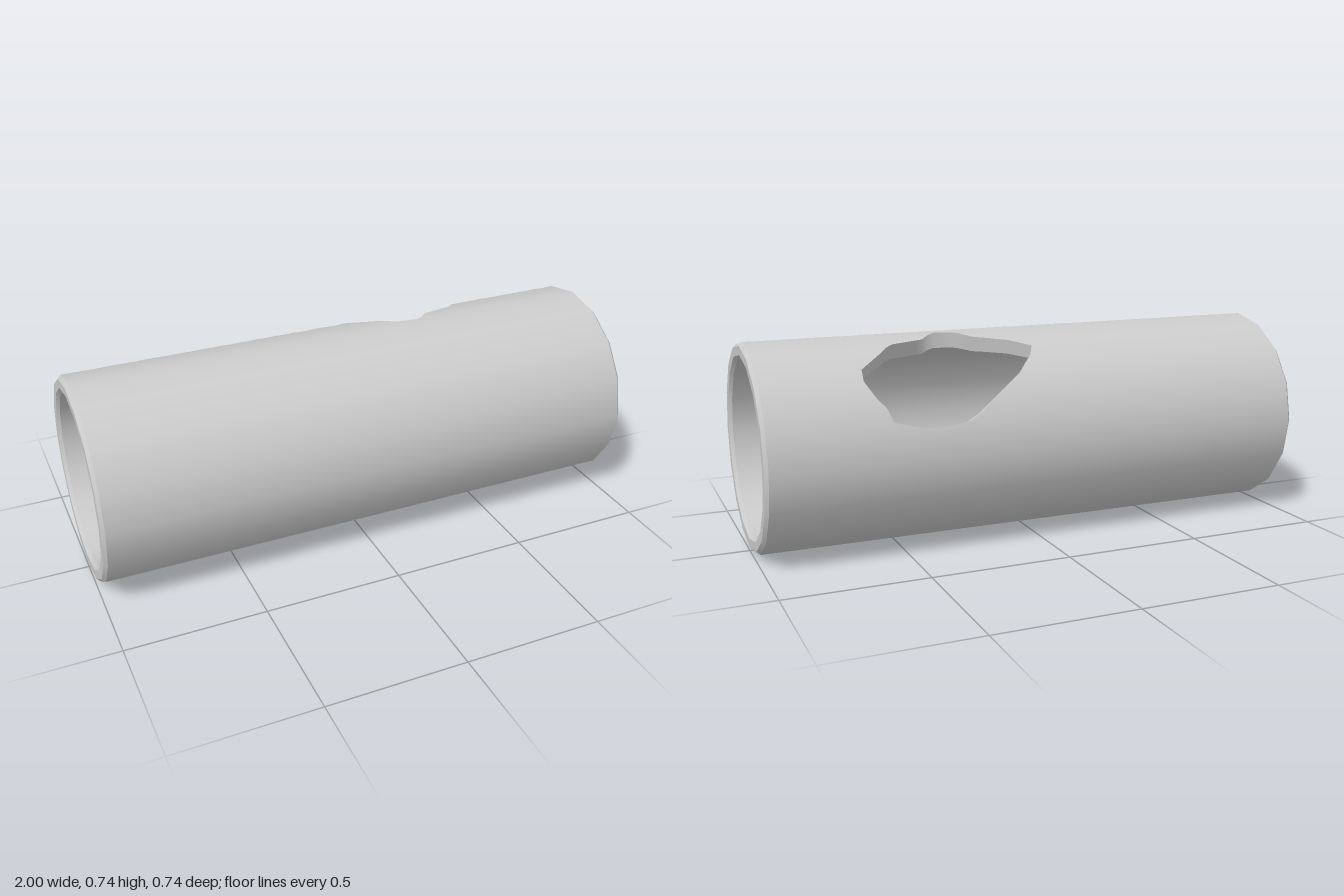
import * as THREE from 'three';

const RO = 0.368, RI = 0.312, BEVEL = 0.012, SIDES = 16;
const STEP = (Math.PI * 2) / SIDES, DEG = Math.PI / 180;

// Broken hole outline: x along the pipe, degrees from the top towards the back
const HOLE = [
  [0, 28], [0.02, 35], [0.09, 48], [0.2, 61], [0.25, 68], [0.3, 73], [0.4, 75], [0.48, 74],
  [0.57, 70], [0.585, 62], [0.61, 57], [0.645, 46], [0.64, 38], [0.56, 27], [0.5, 18],
  [0.38, 13], [0.355, 8], [0.32, 3], [0.24, 5], [0.19, 14], [0.16, 16], [0.07, 23],
];
const CENTRE = [0.33, 42];
// The six facets that hold the hole
const A0 = -22.5, A1 = 112.5, END = 1 - BEVEL;

// Point on a sixteen-sided pipe of corner radius R
function onPipe(x, deg, R) {
  const a = deg * DEG;
  const local = a - Math.floor(a / STEP + 1e-9) * STEP - STEP / 2;
  const r = (R * Math.cos(STEP / 2)) / Math.cos(local);
  return new THREE.Vector3(x, RO + r * Math.cos(a), -r * Math.sin(a));
}

const radial = (deg, s = 1) =>
  new THREE.Vector3(0, s * Math.cos(deg * DEG), -s * Math.sin(deg * DEG));

// Surface over a grid; f(i, j) gives [point, normal] and faces follow the normals
function grid(nu, nv, f) {
  const pos = [], nor = [], idx = [], P = [], N = [];
  for (let i = 0; i <= nu; i++) for (let j = 0; j <= nv; j++) {
    const [p, n] = f(i, j);
    n.normalize();
    P.push(p); N.push(n);
    pos.push(p.x, p.y, p.z);
    nor.push(n.x, n.y, n.z);
  }
  const tri = (a, b, c) => {
    const g = P[b].clone().sub(P[a]).cross(P[c].clone().sub(P[a]));
    const n = N[a].clone().add(N[b]).add(N[c]);
    if (g.dot(n) < 0) idx.push(a, c, b); else idx.push(a, b, c);
  };
  for (let i = 0; i < nu; i++) for (let j = 0; j < nv; j++) {
    const a = i * (nv + 1) + j, b = a + nv + 1;
    tri(a, b, b + 1);
    tri(a, b + 1, a + 1);
  }
  const geo = new THREE.BufferGeometry();
  geo.setAttribute('position', new THREE.Float32BufferAttribute(pos, 3));
  geo.setAttribute('normal', new THREE.Float32BufferAttribute(nor, 3));
  geo.setIndex(idx);
  return geo;
}

// Points around the border of the unrolled hole panel
function panelBorder() {
  const corners = [[-END, A0], [END, A0], [END, A1], [-END, A1]];
  const counts = [64, 48, 64, 48], out = [];
  corners.forEach((c, k) => {
    const d = corners[(k + 1) % 4];
    for (let i = 0; i < counts[k]; i++) {
      const t = i / counts[k];
      out.push([c[0] + (d[0] - c[0]) * t, c[1] + (d[1] - c[1]) * t]);
    }
  });
  out.push(out[0]);
  return out;
}

// Where the ray from the hole centre to a border point meets the outline
function outlineHit(b) {
  const dx = b[0] - CENTRE[0], dy = b[1] - CENTRE[1];
  for (let k = 0; k < HOLE.length; k++) {
    const p = HOLE[k], q = HOLE[(k + 1) % HOLE.length];
    const ex = q[0] - p[0], ey = q[1] - p[1];
    const px = p[0] - CENTRE[0], py = p[1] - CENTRE[1];
    const det = dx * ey - dy * ex;
    if (Math.abs(det) < 1e-9) continue;
    const t = (px * ey - py * ex) / det, s = (px * dy - py * dx) / det;
    if (t > 0 && s >= -1e-6 && s <= 1 + 1e-6) return [CENTRE[0] + dx * t, CENTRE[1] + dy * t];
  }
  return CENTRE;
}

export function createModel() {
  const group = new THREE.Group();
  const material = new THREE.MeshStandardMaterial({ color: 0xcccccc, side: THREE.DoubleSide });
  const add = (name, geo) => {
    const mesh = new THREE.Mesh(geo, material);
    mesh.name = name;
    group.add(mesh);
  };

  const border = panelBorder(), rim = border.map(outlineHit), n = border.length - 1;

  // Outer and inner walls: ten plain facets plus the panel around the hole
  for (const [name, R, s] of [['outer', RO, 1], ['inner', RI, -1]]) {
    add(name + 'Wall', grid(10, 1, (i, j) => {
      const deg = A1 + i * 22.5;
      return [onPipe(j ? END : -END, deg, R), radial(deg, s)];
    }));
    add(name + 'HolePanel', grid(n, 14, (i, j) => {
      const t = j / 14, [h, b] = [rim[i], border[i]];
      const deg = h[1] + (b[1] - h[1]) * t;
      return [onPipe(h[0] + (b[0] - h[0]) * t, deg, R), radial(deg, s)];
    }));
  }

  // Wall thickness seen around the broken hole
  add('holeEdge', grid(n, 1, (i, j) => {
    const [x, deg] = rim[i], a = deg * DEG;
    const k = (CENTRE[1] - deg) * DEG * RO;
    return [onPipe(x, deg, j ? RI : RO),
      new THREE.Vector3(CENTRE[0] - x, -Math.sin(a) * k, -Math.cos(a) * k)];
  }));

  // Bevelled end rims
  const profile = [[END, RO], [1, RO - BEVEL], [1, RI + BEVEL], [END, RI]];
  for (const side of [-1, 1]) {
    for (let k = 0; k < 3; k++) {
      const p = profile[k], q = profile[k + 1];
      add('endRim', grid(SIDES, 1, (i, j) => {
        const deg = i * 22.5, [x, R] = j ? q : p;
        const normal = radial(deg, q[0] - p[0]);
        normal.x = side * (p[1] - q[1]);
        return [onPipe(side * x, deg, R), normal];
      }));
    }
  }
  return group;
}
